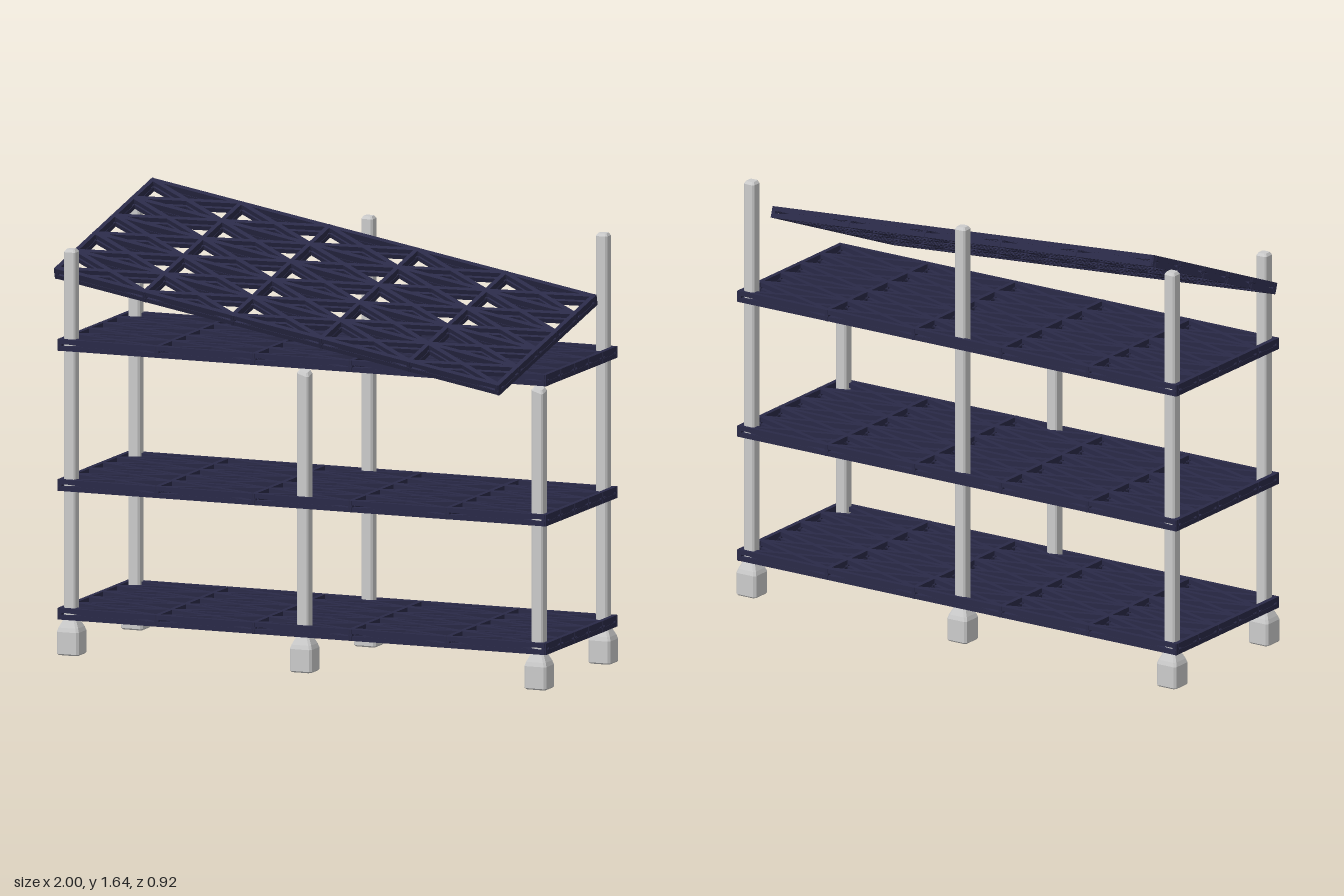
import * as THREE from 'three';
import { mergeGeometries } from 'three/addons/utils/BufferGeometryUtils.js';

const steel = new THREE.MeshStandardMaterial({ color: 0xcccccc, flatShading: true });
const navy = new THREE.MeshStandardMaterial({ color: 0x2a2a48 });

const W = 1.895, D = 0.64;   // truss centreline size
const BAR = 0.017;           // bar thickness
const H = 0.0125;            // half distance between the two bar layers
const N = 5;                 // bays each way

// Square bar between two points
function bar(a, b, t = BAR) {
  const dir = b.clone().sub(a);
  const g = new THREE.BoxGeometry(t, t, dir.length() + t * 0.9);
  const m = new THREE.Matrix4().lookAt(b, a, new THREE.Vector3(0, 1, 0));
  if (Math.abs(dir.x) + Math.abs(dir.z) < 1e-6) m.makeRotationX(Math.PI / 2);
  m.setPosition(a.clone().add(b).multiplyScalar(0.5));
  return g.applyMatrix4(m);
}

// Flat box truss: two crossed grids joined by uprights and crossed webs
function trussGeometry() {
  const p = (i, j, s) => new THREE.Vector3((i / N - 0.5) * W, s * H, (j / N - 0.5) * D);
  const parts = [];
  for (let i = 0; i <= N; i++) for (let j = 0; j <= N; j++) {
    parts.push(bar(p(i, j, -1), p(i, j, 1)));
    for (const s of [-1, 1]) {
      if (i < N) {
        parts.push(bar(p(i, j, s), p(i + 1, j, s)));
        parts.push(bar(p(i, j, s), p(i + 1, j, -s), BAR * 0.8));
      }
      if (j < N) {
        parts.push(bar(p(i, j, s), p(i, j + 1, s)));
        parts.push(bar(p(i, j, s), p(i, j + 1, -s), BAR * 0.8));
      }
      if (i < N && j < N) {
        parts.push(bar(p(i, j, s), p(i + 1, j + 1, s)));
        parts.push(bar(p(i + 1, j, s), p(i, j + 1, s)));
      }
    }
  }
  return mergeGeometries(parts);
}

// Loft of chamfered squares; rings are [half width, height, chamfer]
function loft(rings, slope = 0) {
  const pos = [], idx = [];
  for (const [r, y, c] of rings) {
    const k = r - c;
    for (const [x, z] of [[r, k], [k, r], [-k, r], [-r, k], [-r, -k], [-k, -r], [k, -r], [r, -k]])
      pos.push(x, y - (y > 1 ? slope * (x + z) : 0), z);
  }
  for (let n = 0; n < rings.length - 1; n++) for (let s = 0; s < 8; s++) {
    const a = n * 8 + s, b = n * 8 + (s + 1) % 8;
    idx.push(a, a + 8, b, b, a + 8, b + 8);
  }
  const t = (rings.length - 1) * 8;
  for (let s = 1; s < 7; s++) idx.push(0, s, s + 1, t, t + s + 1, t + s);
  const g = new THREE.BufferGeometry();
  g.setAttribute('position', new THREE.Float32BufferAttribute(pos, 3));
  g.setIndex(idx);
  const flat = g.toNonIndexed();
  flat.computeVertexNormals();
  return flat;
}

export function createModel() {
  const model = new THREE.Group();
  const add = (name, geometry, material, x, y, z) => {
    const mesh = new THREE.Mesh(geometry, material);
    mesh.name = name;
    mesh.position.set(x, y, z);
    model.add(mesh);
    return mesh;
  };

  // Level shelves
  const truss = trussGeometry();
  [['lowerShelf', 0.15], ['middleShelf', 0.62], ['upperShelf', 1.132]].forEach(
    ([name, y]) => add(name, truss, navy, 0.003, y, -0.094));

  // Loose top panel, tilted and turned
  const roof = add('tiltedTopPanel', truss, navy, -0.004, 1.372, -0.003);
  const ax = new THREE.Vector3(1.86, -0.25, 0.305).normalize();
  const az = new THREE.Vector3(-0.13, -0.25, 0.605);
  az.addScaledVector(ax, -az.dot(ax)).normalize();
  const ay = new THREE.Vector3().crossVectors(az, ax);
  roof.quaternion.setFromRotationMatrix(new THREE.Matrix4().makeBasis(ax, ay, az));

  // Posts and their feet
  const foot = loft([[0.039, 0, 0.008], [0.043, 0.005, 0.008], [0.043, 0.085, 0.008],
    [0.038, 0.1, 0.008], [0.026, 0.125, 0.007], [0.023, 0.132, 0.006]]);
  const posts = [
    ['backRight', -0.912, -0.389, 1.57], ['backMiddle', 0, -0.389, 1.57], ['backLeft', 0.918, -0.389, 1.57],
    ['frontRight', -0.912, 0.199, 1.48], ['frontMiddle', 0, 0.199, 1.1], ['frontLeft', 0.918, 0.199, 1.1],
  ];
  for (const [name, x, z, top] of posts) {
    const post = loft([[0.0225, 0.12, 0.006], [0.0225, top - 0.01, 0.006], [0.016, top, 0.005]],
      top < 1.2 ? 0.3 : 0);
    add(name + 'Post', post, steel, x, 0, z);
    add(name + 'Foot', foot, steel, x, 0, z);
  }
  return model;
}
